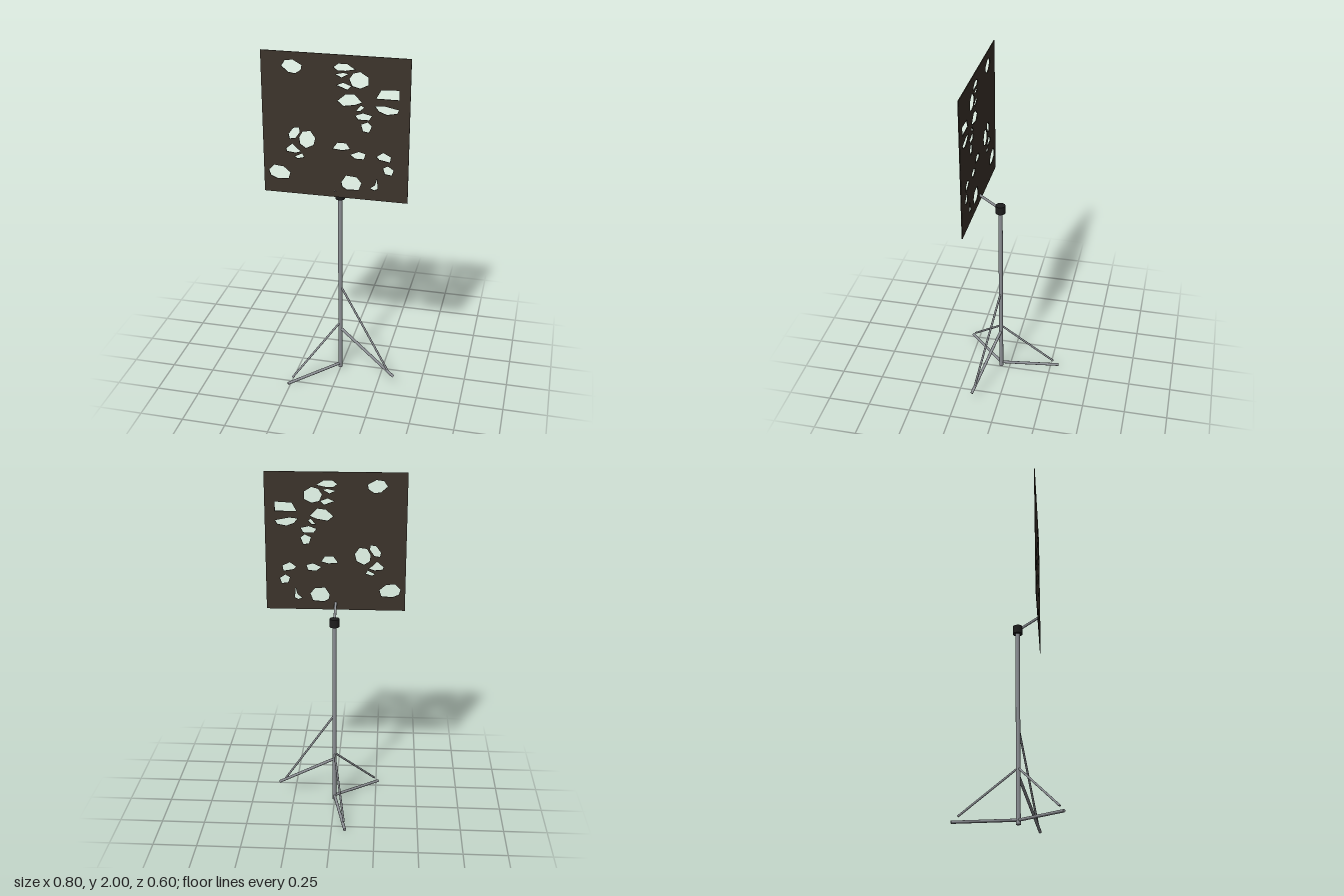
import * as THREE from 'three';

const metal = new THREE.MeshStandardMaterial({ color: 0x8c8f94 });
metal.name = 'grey metal';
const black = new THREE.MeshStandardMaterial({ color: 0x1e1e1e });
black.name = 'black plastic';
const brown = new THREE.MeshStandardMaterial({ color: 0x3d352c });
brown.name = 'dark brown panel';

const POLE_Z = 0.05;
const PANEL_Z = 0.17;

// Round tube between two points
function rod(name, from, to, radius, material = metal) {
  const a = new THREE.Vector3(...from);
  const b = new THREE.Vector3(...to);
  const dir = b.clone().sub(a);
  const mesh = new THREE.Mesh(new THREE.CylinderGeometry(radius, radius, dir.length(), 16), material);
  mesh.position.copy(a).add(b).multiplyScalar(0.5);
  mesh.quaternion.setFromUnitVectors(new THREE.Vector3(0, 1, 0), dir.normalize());
  mesh.name = name;
  return mesh;
}

// Thin square panel with angular cut-outs
function makePanel() {
  const shape = new THREE.Shape();
  shape.moveTo(-0.4, 1.2).lineTo(0.4, 1.2).lineTo(0.4, 2).lineTo(-0.4, 2).closePath();

  // Outline in 151sts of the panel side, measured from its top left corner
  const cut = (...uv) => {
    const points = [];
    for (let i = 0; i < uv.length; i += 2) {
      points.push(new THREE.Vector2(-0.4 + uv[i] * 0.8 / 151, 2 - uv[i + 1] * 0.8 / 151));
    }
    shape.holes.push(new THREE.Path(points));
  };
  // top left
  cut(21, 15, 25, 9, 33, 8, 42, 13, 41, 18, 35, 22, 28, 21);
  // top cluster
  cut(74, 13, 79, 9, 88, 9, 96, 14, 86, 16, 78, 16);
  cut(90, 24, 94, 18, 101, 16, 109, 21, 109, 29, 101, 33, 93, 31);
  cut(76, 20, 84, 18, 89, 19, 82, 23);
  cut(77, 31, 84, 28, 92, 31, 88, 35);
  cut(78, 47, 86, 40, 95, 39, 103, 47, 96, 50, 84, 52);
  cut(97, 56, 102, 50, 105, 52, 101, 56);
  cut(96, 61, 104, 58, 113, 60, 110, 65, 99, 65);
  cut(102, 70, 109, 67, 113, 71, 110, 78, 104, 77);
  // right edge
  cut(117, 42, 122, 33, 140, 32, 140, 42);
  cut(116, 50, 125, 49, 140, 52, 138, 56, 128, 58, 120, 55);
  // left cluster
  cut(38, 89, 42, 82, 50, 81, 55, 88, 53, 96, 45, 100, 39, 96);
  cut(27, 86, 32, 79, 38, 78, 39, 83, 34, 90, 28, 91);
  cut(24, 102, 31, 96, 36, 101, 40, 104, 34, 106, 25, 105);
  cut(33, 110, 41, 106, 43, 110, 36, 112);
  // bottom left
  cut(5, 127, 11, 121, 21, 122, 28, 128, 26, 135, 14, 136, 7, 133);
  // lower right
  cut(73, 98, 78, 91, 87, 91, 91, 97, 83, 99);
  cut(91, 103, 100, 99, 107, 101, 105, 107, 96, 107);
  cut(118, 103, 125, 98, 133, 102, 132, 108, 121, 106);
  cut(125, 115, 130, 112, 136, 116, 134, 122, 127, 121);
  cut(82, 134, 87, 126, 98, 127, 103, 133, 100, 141, 88, 142, 83, 139);
  cut(112, 138, 117, 134, 119, 127, 120, 138, 116, 140);

  const depth = 0.005;
  const geometry = new THREE.ExtrudeGeometry(shape, { depth, bevelEnabled: false });
  const panel = new THREE.Mesh(geometry, brown);
  panel.position.z = PANEL_Z - depth / 2;
  panel.name = 'panel';
  return panel;
}

export function createModel() {
  const model = new THREE.Group();
  model.name = 'panelOnStand';

  // Upright pole, clamp and tilted arm
  model.add(rod('pole', [0, 0.015, POLE_Z], [0, 1.15, POLE_Z], 0.0125));
  model.add(rod('clamp', [0, 1.137, POLE_Z], [0, 1.185, POLE_Z], 0.028, black));
  model.add(rod('arm', [0, 1.16, POLE_Z], [0, 1.24, PANEL_Z], 0.0075));
  model.add(makePanel());

  // Three legs, one raised, each with a brace
  const legs = [
    { name: 'frontRightLeg', hub: 0.04, foot: [-0.263, 0.012, 0.293], braceTop: 0.33, braceEnd: [-0.24, 0.045, 0.272] },
    { name: 'backLeg', hub: 0.04, foot: [-0.08, 0.012, -0.3], braceTop: 0.33, braceEnd: [-0.072, 0.045, -0.265] },
    { name: 'raisedLeftLeg', hub: 0.29, foot: [0.345, 0.064, 0.156], braceTop: 0.58, braceEnd: [0.317, 0.08, 0.148] },
  ];
  for (const { name, hub, foot, braceTop, braceEnd } of legs) {
    const leg = new THREE.Group();
    leg.name = name;
    leg.add(rod('legTube', [0, hub, POLE_Z], foot, 0.0085));
    leg.add(rod('brace', [0, braceTop, POLE_Z], braceEnd, 0.006));
    model.add(leg);
  }
  return model;
}
